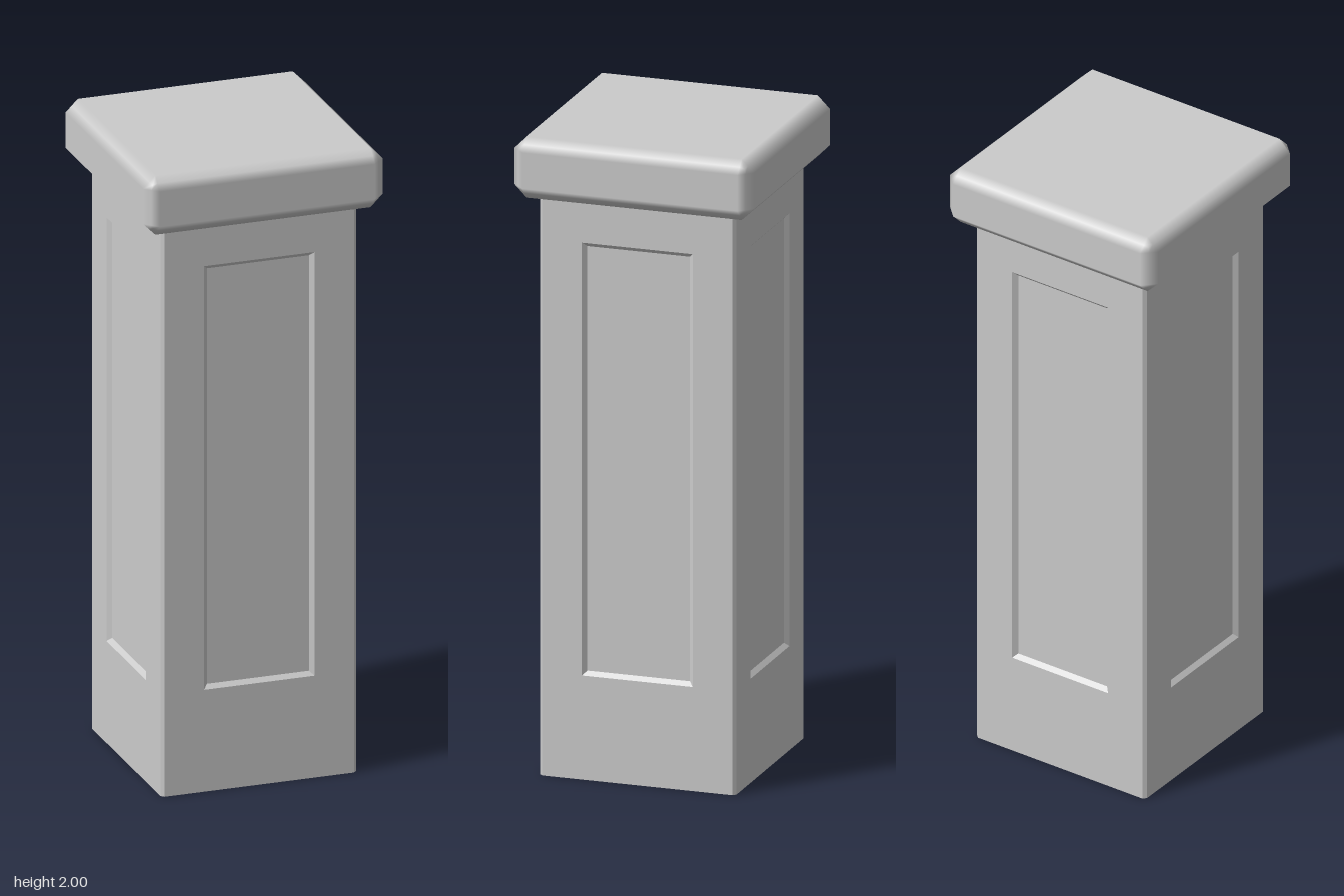
import * as THREE from 'three';
import { RoundedBoxGeometry } from 'three/addons/geometries/RoundedBoxGeometry.js';

const material = new THREE.MeshStandardMaterial({ color: 0xcccccc });

const HALF = 0.31;          // half width of the shaft
const BEVEL = 0.01;         // bevel of the shaft's upright edges
const SHAFT_TOP = 1.815;
const PANEL = { x: 0.175, bottom: 0.325, top: 1.677 };
const INSET = 0.013;        // width and depth of the sloped panel border

function part(name, geometry) {
  const mesh = new THREE.Mesh(geometry, material);
  mesh.name = name;
  return mesh;
}

// Corners of the panel rectangle, anticlockwise, shrunk by an inset
function panelCorners(inset) {
  const x = PANEL.x - inset, b = PANEL.bottom + inset, t = PANEL.top - inset;
  return [[-x, b], [x, b], [x, t], [-x, t]].map(([px, py]) => new THREE.Vector2(px, py));
}

// Sloped strip from the wall down to the recessed panel
function borderGeometry() {
  const points = [], index = [];
  for (const p of panelCorners(0)) points.push(p.x, p.y, 0);
  for (const p of panelCorners(INSET)) points.push(p.x, p.y, -INSET);
  for (let i = 0; i < 4; i++) {
    const j = (i + 1) % 4;
    index.push(i, j, 4 + j, i, 4 + j, 4 + i);
  }
  const indexed = new THREE.BufferGeometry();
  indexed.setAttribute('position', new THREE.Float32BufferAttribute(points, 3));
  indexed.setIndex(index);
  const geometry = indexed.toNonIndexed();
  geometry.computeVertexNormals();
  return geometry;
}

// One side of the shaft with its recessed panel and one bevelled edge
function createSide() {
  const side = new THREE.Group();
  side.name = 'shaftSide';
  const w = HALF - BEVEL;

  const wallShape = new THREE.Shape([
    new THREE.Vector2(-w, 0), new THREE.Vector2(w, 0),
    new THREE.Vector2(w, SHAFT_TOP), new THREE.Vector2(-w, SHAFT_TOP),
  ]);
  wallShape.holes.push(new THREE.Path(panelCorners(0).reverse()));
  const wall = part('wall', new THREE.ShapeGeometry(wallShape));
  const border = part('panelBorder', borderGeometry());
  const panel = part('panel', new THREE.ShapeGeometry(new THREE.Shape(panelCorners(INSET))));
  wall.position.z = border.position.z = HALF;
  panel.position.z = HALF - INSET;

  const edge = part('bevelledEdge', new THREE.PlaneGeometry(BEVEL * Math.SQRT2, SHAFT_TOP));
  edge.position.set(HALF - BEVEL / 2, SHAFT_TOP / 2, HALF - BEVEL / 2);
  edge.rotation.y = Math.PI / 4;

  side.add(wall, border, panel, edge);
  return side;
}

// Underside (or top) of the shaft: a square with clipped corners
function createEnd(name, y, up) {
  const w = HALF - BEVEL, h = HALF;
  const outline = [[w, -h], [h, -w], [h, w], [w, h], [-w, h], [-h, w], [-h, -w], [-w, -h]];
  const end = part(name, new THREE.ShapeGeometry(
    new THREE.Shape(outline.map(([x, z]) => new THREE.Vector2(x, z)))));
  end.rotation.x = up ? -Math.PI / 2 : Math.PI / 2;
  end.position.y = y;
  return end;
}

// Box with flat chamfers but softly shaded edges
function chamferedBox(width, height, depth, r) {
  const geometry = new RoundedBoxGeometry(width, height, depth, 1, r);
  const core = new THREE.Vector3(width / 2 - r, height / 2 - r, depth / 2 - r);
  const pos = geometry.attributes.position;
  const v = new THREE.Vector3(), c = new THREE.Vector3();
  for (let i = 0; i < pos.count; i++) {
    v.fromBufferAttribute(pos, i);
    c.set(Math.sign(v.x) * core.x, Math.sign(v.y) * core.y, Math.sign(v.z) * core.z);
    v.sub(c);
    v.multiplyScalar(r / v.manhattanLength()).add(c); // flatten the rounding
    pos.setXYZ(i, v.x, v.y, v.z);
  }
  return geometry;
}

export function createModel() {
  const pillar = new THREE.Group();
  pillar.name = 'pillar';

  const shaft = new THREE.Group();
  shaft.name = 'shaft';
  for (let i = 0; i < 4; i++) {
    const side = createSide();
    side.rotation.y = i * Math.PI / 2;
    shaft.add(side);
  }
  shaft.add(createEnd('shaftBottom', 0, false), createEnd('shaftTop', SHAFT_TOP, true));

  const cap = part('cap', chamferedBox(0.76, 0.19, 0.76, 0.039));
  cap.position.y = 1.905;

  pillar.add(shaft, cap);
  return pillar;
}
